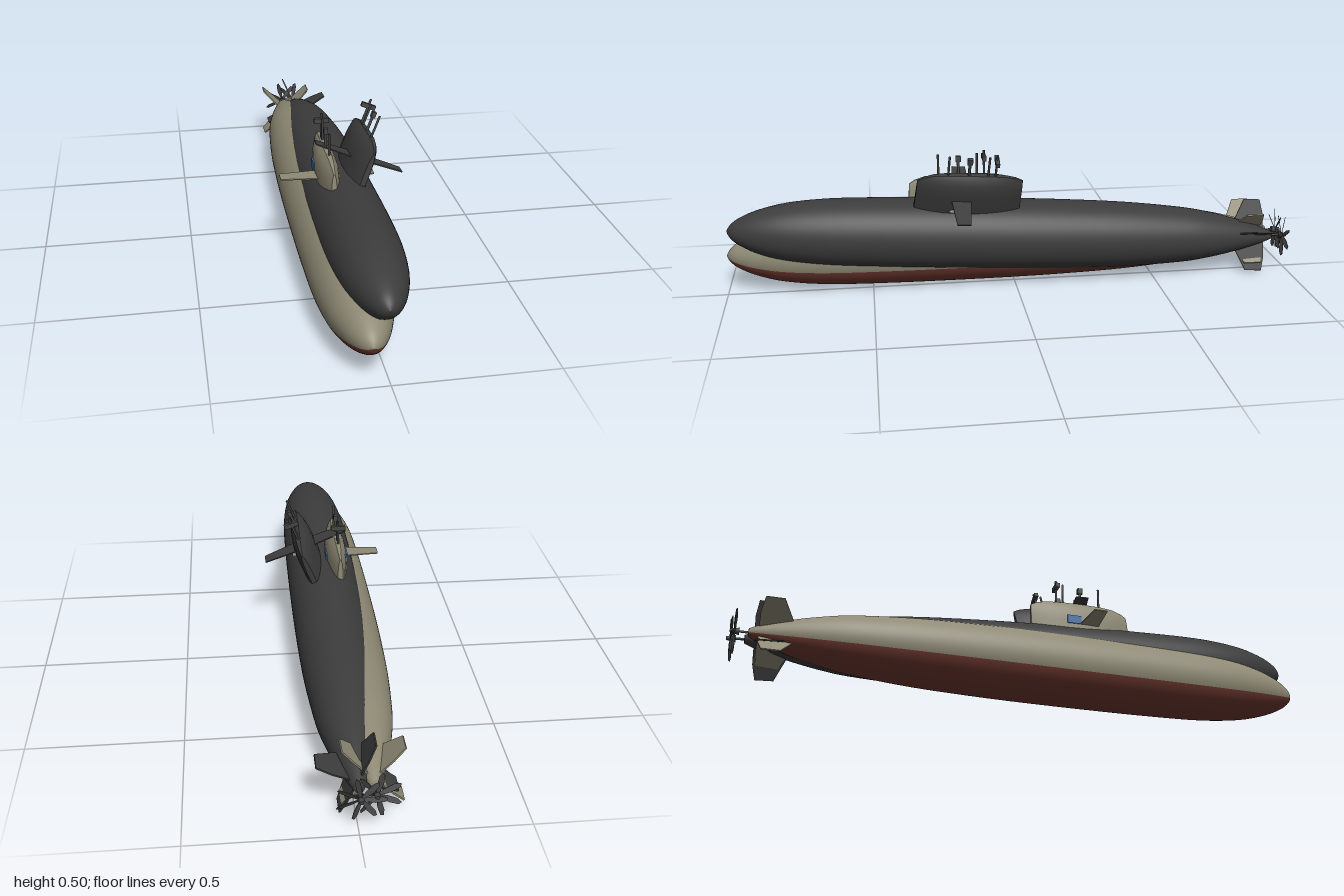
import * as THREE from 'three';
import { toCreasedNormals } from 'three/addons/utils/BufferGeometryUtils.js';

const mat = (name, color) => Object.assign(new THREE.MeshStandardMaterial({ color }), { name });
const rad = THREE.MathUtils.degToRad;

// Hull half-profile: radius, z (tail to nose)
const hullCurve = new THREE.SplineCurve([
  [0.014, -0.94], [0.03, -0.9], [0.06, -0.8], [0.083, -0.7], [0.099, -0.6], [0.115, -0.4],
  [0.122, -0.2], [0.125, 0], [0.125, 0.25], [0.123, 0.45], [0.117, 0.65], [0.1, 0.8],
  [0.073, 0.9], [0.045, 0.96], [0.022, 0.988], [0.001, 1],
].map(([r, z]) => new THREE.Vector2(r, z)));

// Angle zero is the keel
function hullSector(start, length) {
  const points = [new THREE.Vector2(0, -0.94), ...hullCurve.getPoints(60)];
  const g = new THREE.LatheGeometry(points, 40, rad(start), rad(length));
  return g.rotateX(Math.PI / 2);
}

// Sail lofted from arched sections: z, half-width, top height
function sailGeometry() {
  const stations = [
    [0.005, 0.009, 0.24], [0.03, 0.018, 0.251], [0.07, 0.027, 0.258], [0.13, 0.035, 0.261],
    [0.2, 0.037, 0.262], [0.27, 0.033, 0.261], [0.32, 0.025, 0.257], [0.352, 0.016, 0.247], [0.372, 0.009, 0.235],
  ];
  const half = [[1, 0], [1, 0.55], [0.94, 0.7], [0.8, 0.82], [0.58, 0.92], [0.25, 1]];
  const arch = [...half.map(([x, t]) => [-x, t]), ...half.map(([x, t]) => [x, t]).reverse()];
  const n = arch.length, pos = [], index = [];
  for (const [z, w, h] of stations) {
    for (const [x, t] of arch) pos.push(x * w, 0.09 + (h - 0.09) * t, z - (z > 0.3 ? t * 0.01 : 0));
  }
  const last = (stations.length - 1) * n;
  for (let i = 0; i < last; i += n) {
    for (let j = 0; j < n - 1; j++) {
      const a = i + j, b = a + n;
      index.push(a, b, a + 1, b, b + 1, a + 1);
    }
  }
  for (let j = 1; j < n - 1; j++) index.push(0, j, j + 1, last, last + j + 1, last + j);
  const g = new THREE.BufferGeometry();
  g.setAttribute('position', new THREE.Float32BufferAttribute(pos, 3));
  g.setIndex(index);
  return toCreasedNormals(g.toNonIndexed(), 0.6);
}

// Thin plate lying in the xz plane, outline given as x, z
function plate(outline, thickness) {
  const shape = new THREE.Shape(outline.map(([x, z]) => new THREE.Vector2(x, -z)));
  const g = new THREE.ExtrudeGeometry(shape, { depth: thickness, bevelEnabled: false });
  return g.translate(0, 0, -thickness / 2).rotateX(-Math.PI / 2);
}

function submarine(name, upper, lower, metal, blue) {
  const sub = new THREE.Group();
  sub.name = name;
  const add = (part, geometry, material, parent = sub) => {
    const mesh = new THREE.Mesh(geometry, material);
    mesh.name = part;
    parent.add(mesh);
    return mesh;
  };

  add('upperHull', hullSector(69.5, 221), upper);
  add('lowerHull', hullSector(-69.5, 139), lower);
  add('sail', sailGeometry(), upper);

  // Sail planes and side plates
  for (const s of [-1, 1]) {
    const plane = add('sailPlane', plate([[0, 0.175], [0.156, 0.187], [0.156, 0.233], [0, 0.248]], 0.004), upper);
    plane.position.y = 0.172;
    if (s < 0) plane.rotation.set(0, 0, Math.PI);
    if (blue) add('sidePlate', new THREE.BoxGeometry(0.005, 0.03, 0.05), blue).position.set(s * 0.037, 0.185, 0.155);
  }

  // Masts: z, radius, top height
  for (const [z, r, top] of [[0.26, 0.004, 0.335], [0.19, 0.005, 0.325], [0.125, 0.004, 0.335], [0.1, 0.004, 0.345]]) {
    add('mast', new THREE.CylinderGeometry(r, r, top - 0.24, 8), metal).position.set(0, (top + 0.24) / 2, z);
  }
  add('mastCrossbar', new THREE.BoxGeometry(0.05, 0.016, 0.014), metal).position.set(0, 0.32, 0.1);
  add('mastHead', new THREE.BoxGeometry(0.014, 0.02, 0.018), metal).position.set(0, 0.318, 0.19);

  // Diagonal tail fins
  for (let k = 0; k < 4; k++) {
    const fin = add('tailFin', plate([[0.01, -0.91], [0.08, -0.91], [0.13, -0.9], [0.13, -0.84], [0.06, -0.805], [0.01, -0.8]], 0.005), upper);
    fin.rotation.z = Math.PI / 4 + k * Math.PI / 2;
  }

  // Propeller
  const propeller = new THREE.Group();
  propeller.name = 'propeller';
  propeller.position.z = -0.983;
  sub.add(propeller);
  add('hub', new THREE.CylinderGeometry(0.012, 0.006, 0.03, 16).rotateX(Math.PI / 2), metal, propeller);
  add('shaft', new THREE.CylinderGeometry(0.004, 0.004, 0.06, 8).rotateX(Math.PI / 2), metal, propeller).position.z = 0.03;
  for (let k = 0; k < 7; k++) {
    const arm = new THREE.Group();
    arm.name = 'propellerBlade';
    arm.rotation.z = k * Math.PI * 2 / 7;
    propeller.add(arm);
    const blade = add('blade', plate([[0.006, -0.004], [0.04, -0.009], [0.07, -0.006], [0.076, 0.003], [0.06, 0.009], [0.03, 0.008], [0.006, 0.004]], 0.002), metal, arm);
    blade.rotation.x = rad(65);
  }
  return sub;
}

export function createModel() {
  const tan = mat('tan', 0x8f8a75);
  const red = mat('hullRed', 0x6e382f);
  const dark = mat('charcoal', 0x3c3c3c);
  const metal = mat('metalGrey', 0x464646);
  const blue = mat('blue', 0x3f70a6);

  const model = new THREE.Group();
  model.name = 'submarinePair';

  const lowerSub = submarine('tanSubmarine', tan, red, metal, blue);
  lowerSub.position.set(-0.05, 0.125, 0);

  // Second boat is rolled and pitched, overlapping the first
  const upperSub = submarine('darkSubmarine', dark, dark, metal, null);
  upperSub.position.set(-0.004, 0.174, -0.01);
  upperSub.rotation.set(-0.057, 0, rad(-22));

  model.add(lowerSub, upperSub);
  return model;
}
